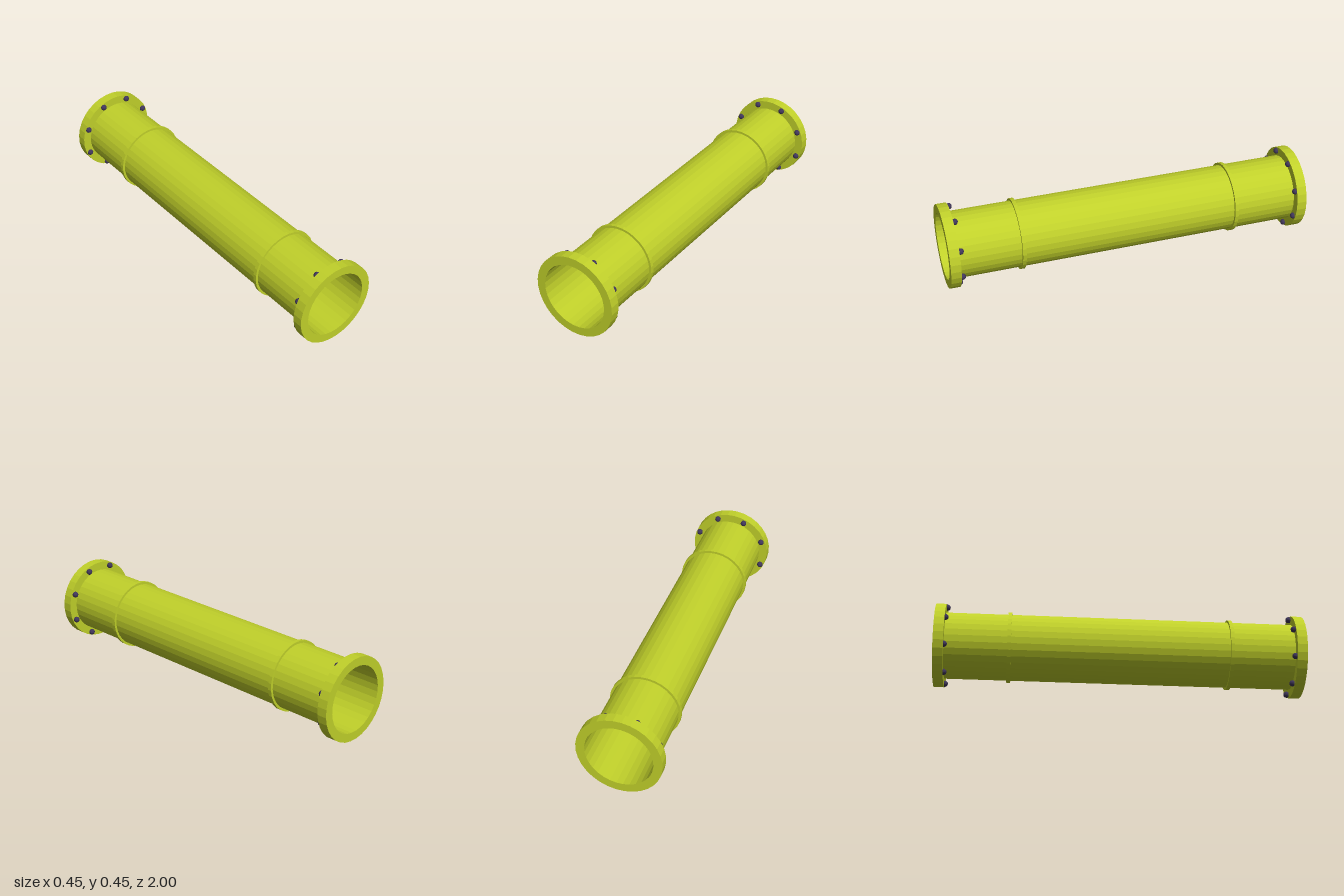
import * as THREE from 'three';

const SIDES = 32;
const AXIS_Y = 0.226;
const PIPE_R = 0.18;

export function createModel() {
  const model = new THREE.Group();
  model.name = 'pipe';

  const paint = new THREE.MeshStandardMaterial({ color: 0xc0d02a, flatShading: true, side: THREE.DoubleSide });
  const boltPaint = new THREE.MeshStandardMaterial({ color: 0x40365a, flatShading: true });

  // Revolve a [radius, z] profile about the pipe's axis, with a flat facet on top
  const addTurned = (name, profile) => {
    const points = profile.map(([r, z]) => new THREE.Vector2(r, z));
    const geometry = new THREE.LatheGeometry(points, SIDES, Math.PI / SIDES).rotateX(Math.PI / 2);
    const mesh = new THREE.Mesh(geometry, paint);
    mesh.name = name;
    mesh.position.y = AXIS_Y;
    model.add(mesh);
  };

  // Collar around the pipe between two z positions, open towards the pipe wall
  const addCollar = (name, radius, z0, z1) =>
    addTurned(name, [[PIPE_R, z0], [radius, z0], [radius, z1], [PIPE_R, z1]]);

  // Thin open tube
  addTurned('tube', [[PIPE_R, -1], [PIPE_R, 1]]);

  // End flanges and raised bands
  addCollar('frontFlange', 0.227, 0.945, 1);
  addCollar('backFlange', 0.227, -1, -0.945);
  addCollar('frontBand', 0.193, 0.59, 0.61);
  addCollar('backBand', 0.193, -0.61, -0.59);

  // Round bolt heads on the inner face of each flange
  const boltGeometry = new THREE.SphereGeometry(0.017, 12, 8);
  for (const [name, z] of [['frontBolts', 0.936], ['backBolts', -0.942]]) {
    const bolts = new THREE.Group();
    bolts.name = name;
    bolts.position.set(0, AXIS_Y, z);
    for (let i = 0; i < 8; i++) {
      const angle = (i + 0.5) * Math.PI / 4;
      const bolt = new THREE.Mesh(boltGeometry, boltPaint);
      bolt.name = 'bolt';
      bolt.position.set(0.207 * Math.cos(angle), 0.207 * Math.sin(angle), 0);
      bolts.add(bolt);
    }
    model.add(bolts);
  }

  return model;
}
